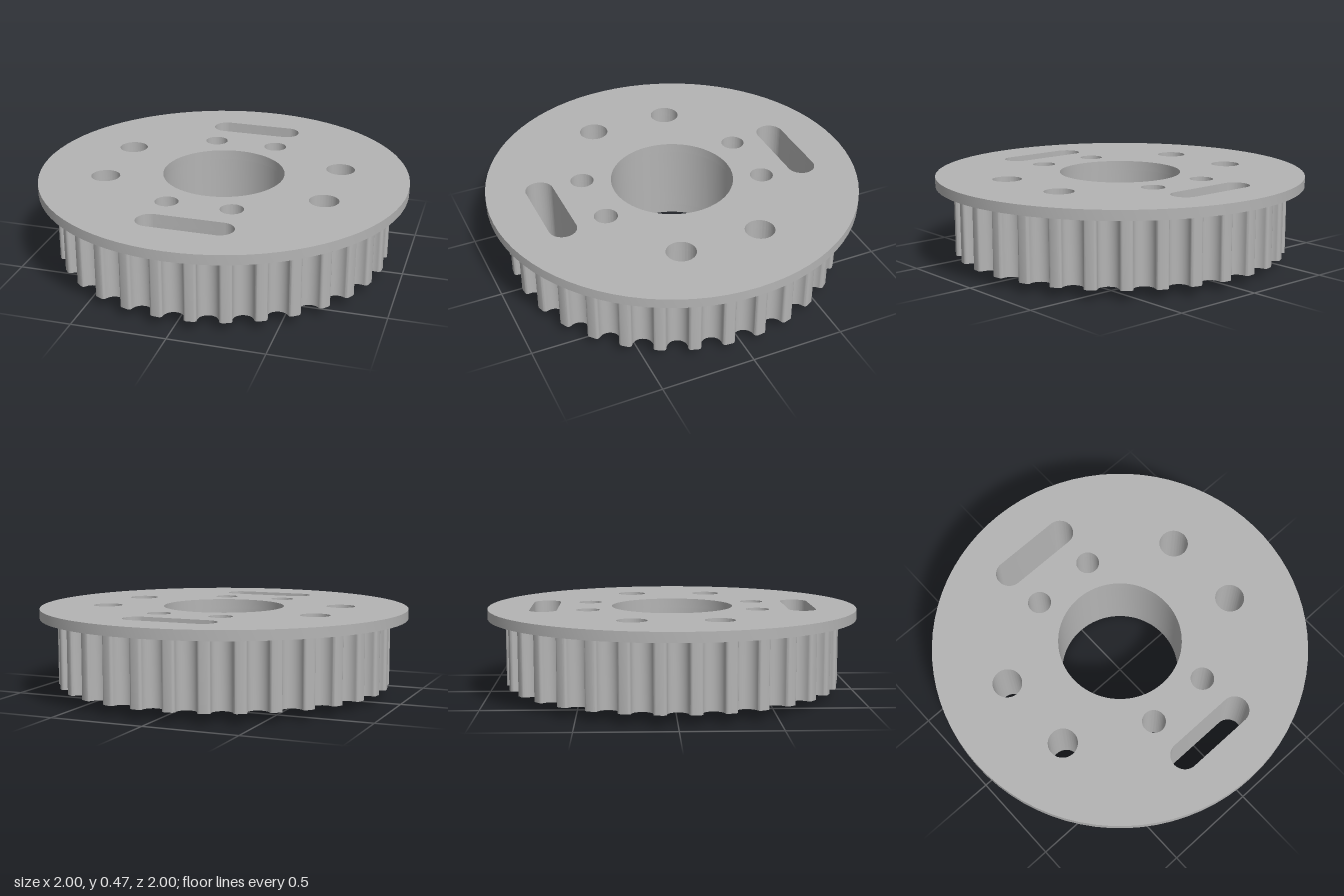
import * as THREE from 'three';
import { toCreasedNormals } from 'three/addons/utils/BufferGeometryUtils.js';

const TEETH = 32;
const BORE = 0.329;

// Round hole path
function circle(x, y, r) {
  return new THREE.Path().absarc(x, y, r, 0, Math.PI * 2, true);
}

// Rounded slot along x
function slot(y, half, r) {
  const p = new THREE.Path();
  p.absarc(half - r, y, r, -Math.PI / 2, Math.PI / 2, false);
  p.absarc(-half + r, y, r, Math.PI / 2, Math.PI * 1.5, false);
  p.closePath();
  return p;
}

// Bolt holes and slots shared by the toothed body and the flange
function addHoles(shape) {
  shape.holes.push(circle(0, 0, BORE));
  for (const sy of [-1, 1]) {
    shape.holes.push(slot(sy * 0.691, 0.255, 0.074));
    for (const sx of [-1, 1]) {
      shape.holes.push(circle(sx * 0.6, sy * 0.22, 0.078));
      shape.holes.push(circle(sx * 0.174, sy * 0.452, 0.062));
    }
  }
  return shape;
}

// Toothed outline: round-bottomed grooves with rounded lips
function toothedShape() {
  const tip = 0.902, groove = 0.054, lip = 0.016, floor = 0.83;
  const local = [];
  const arc = (cx, cy, r, from, to, n) => {
    for (let i = 0; i <= n; i++) {
      const a = THREE.MathUtils.degToRad(from + (to - from) * i / n);
      local.push([cx + r * Math.cos(a), cy + r * Math.sin(a)]);
    }
  };
  arc(-groove - lip, tip - lip, lip, 90, 0, 4);
  arc(0, floor + groove, groove, 180, 360, 14);
  arc(groove + lip, tip - lip, lip, 180, 90, 4);

  const points = [];
  for (let k = 0; k < TEETH; k++) {
    const a = k / TEETH * Math.PI * 2, c = Math.cos(a), s = Math.sin(a);
    for (const [t, r] of local) points.push(new THREE.Vector2(r * c - t * s, r * s + t * c));
  }
  return new THREE.Shape(points);
}

function disc(r) {
  return new THREE.Shape().absarc(0, 0, r, 0, Math.PI * 2, false);
}

// Flat plate standing between two heights
function plate(name, shape, y0, y1, material) {
  const geo = new THREE.ExtrudeGeometry(shape, { depth: y1 - y0, bevelEnabled: false, curveSegments: 40 });
  geo.rotateX(-Math.PI / 2);
  geo.translate(0, y0, 0);
  const mesh = new THREE.Mesh(toCreasedNormals(geo, 0.6), material);
  mesh.name = name;
  return mesh;
}

export function createModel() {
  const metal = new THREE.MeshStandardMaterial({ color: 0xb4b4b4 });
  metal.name = 'grey metal';

  const hub = disc(0.4);
  hub.holes.push(circle(0, 0, BORE));

  const group = new THREE.Group();
  group.name = 'timingPulley';
  group.add(
    plate('hubRing', hub, 0, 0.055, metal),
    plate('toothedBody', addHoles(toothedShape()), 0.055, 0.42, metal),
    plate('flange', addHoles(disc(1)), 0.42, 0.473, metal)
  );
  return group;
}
